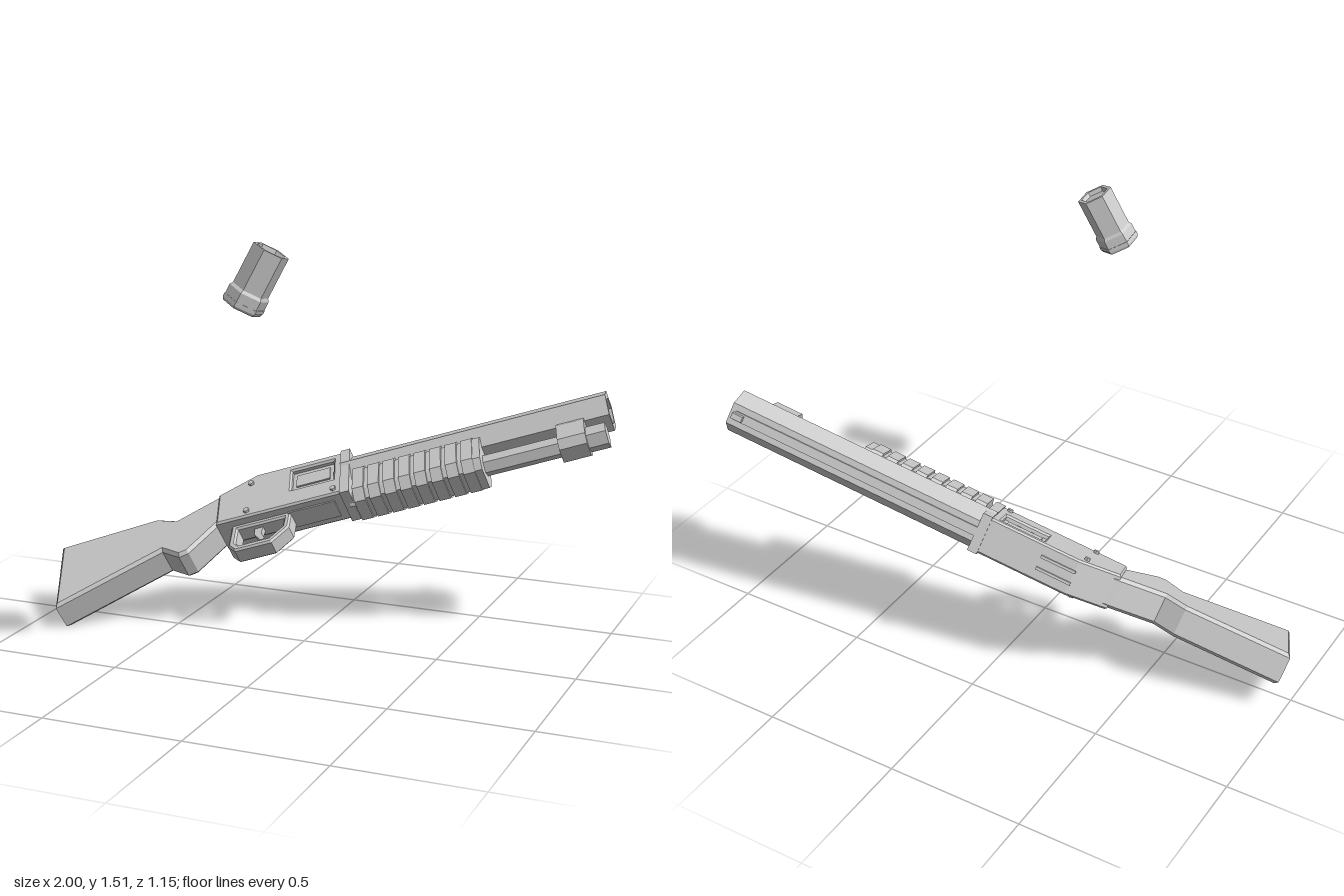
import * as THREE from 'three';

const material = new THREE.MeshStandardMaterial({ color: 0xcccccc, flatShading: true });

function add(parent, name, geometry, x = 0, y = 0, z = 0) {
  const mesh = new THREE.Mesh(geometry, material);
  mesh.name = name;
  mesh.position.set(x, y, z);
  parent.add(mesh);
  return mesh;
}

const toShape = (pts) => new THREE.Shape(pts.map(([x, y]) => new THREE.Vector2(x, y)));

// Side profile (length, height), centred across the width with a chamfered rim
function sideProfile(shape, width, bevel) {
  const g = new THREE.ExtrudeGeometry(shape, {
    depth: width - 2 * bevel, bevelEnabled: bevel > 0, bevelSegments: 1,
    bevelSize: bevel, bevelThickness: bevel, bevelOffset: -bevel,
  });
  return g.translate(0, 0, -(width - 2 * bevel) / 2);
}

// Cross-section (width, height) swept along the length from a to b
function alongLength(shape, a, b) {
  return new THREE.ExtrudeGeometry(shape, { depth: b - a, bevelEnabled: false })
    .rotateY(Math.PI / 2).translate(a, 0, 0);
}

function hexPoints(r, cy, start = 0) {
  return Array.from({ length: 6 }, (_, i) => {
    const a = start + i * Math.PI / 3;
    return [r * Math.cos(a), cy + r * Math.sin(a)];
  });
}

const box = (a, b, c) => new THREE.BoxGeometry(a, b, c);

function buildGun() {
  const gun = new THREE.Group();
  gun.name = 'pumpShotgun';

  // Stock with grip
  add(gun, 'stock', sideProfile(toShape([
    [-0.838, 0.112], [-0.432, 0.275], [-0.362, 0.223], [-0.325, 0.232], [-0.215, 0.345],
    [-0.2, 0.345], [-0.2, 0.505], [-0.23, 0.495], [-0.385, 0.428], [-0.465, 0.462], [-0.858, 0.44],
  ]), 0.118, 0.012));

  // Receiver: core, plain plate on one side, plate with ejection port on the other
  const outline = [[-0.22, 0.335], [0.27, 0.335], [0.27, 0.558], [-0.07, 0.558], [-0.22, 0.495]];
  add(gun, 'receiverCore', sideProfile(toShape(outline), 0.096, 0));
  const plain = toShape(outline);
  const ported = toShape(outline);
  ported.holes.push(new THREE.Path([[0.07, 0.42], [0.07, 0.525], [0.232, 0.525], [0.232, 0.42]]
    .map(([x, y]) => new THREE.Vector2(x, y))));
  const plate = { depth: 0.012, bevelEnabled: true, bevelSegments: 1, bevelSize: 0.007, bevelThickness: 0.007, bevelOffset: -0.007 };
  add(gun, 'portPlate', new THREE.ExtrudeGeometry(ported, plate), 0, 0, 0.048);
  add(gun, 'plainPlate', new THREE.ExtrudeGeometry(plain, plate), 0, 0, -0.06);
  add(gun, 'bolt', box(0.13, 0.06, 0.012), 0.15, 0.475, 0.048);
  add(gun, 'receiverCollar', box(0.035, 0.236, 0.142), 0.278, 0.444, 0);
  add(gun, 'loadingGate', box(0.18, 0.01, 0.075), 0.14, 0.334, 0);
  for (const s of [-1, 1]) {
    add(gun, 'topRail', box(0.13, 0.012, 0.01), -0.01, 0.56, s * 0.022);
    for (const [u, v] of [[-0.09, 0.51], [-0.1, 0.362], [0.235, 0.362]]) {
      add(gun, 'pin', new THREE.CylinderGeometry(0.011, 0.011, 0.012, 6).rotateX(Math.PI / 2), u, v, s * 0.07);
    }
  }

  // Trigger and its guard
  const guard = toShape([[-0.17, 0.345], [-0.178, 0.235], [-0.15, 0.203], [-0.01, 0.203], [0.055, 0.262], [0.062, 0.345]]);
  guard.holes.push(new THREE.Path([[-0.145, 0.318], [0.035, 0.318], [0.03, 0.274], [-0.02, 0.23], [-0.138, 0.23], [-0.15, 0.245]]
    .map(([x, y]) => new THREE.Vector2(x, y))));
  add(gun, 'triggerGuard', sideProfile(guard, 0.066, 0.007));
  add(gun, 'trigger', sideProfile(toShape([
    [-0.09, 0.335], [-0.085, 0.285], [-0.06, 0.25], [-0.045, 0.255], [-0.06, 0.29], [-0.05, 0.335],
  ]), 0.024, 0));

  // Hexagonal barrel with open muzzle, rib and sight
  const barrelPts = hexPoints(0.077, 0.485);
  const muzzle = toShape(barrelPts);
  muzzle.holes.push(new THREE.Path(hexPoints(0.052, 0.485).reverse().map(([x, y]) => new THREE.Vector2(x, y))));
  add(gun, 'barrel', alongLength(toShape(barrelPts), 0.26, 1.12));
  add(gun, 'muzzle', alongLength(muzzle, 1.12, 1.25));
  add(gun, 'sightRib', box(0.95, 0.012, 0.032), 0.755, 0.554, 0);
  add(gun, 'frontSight', box(0.04, 0.03, 0.02), 1.215, 0.564, 0);

  // Magazine tube, end cap and the band holding it to the barrel
  const pointUp = Math.PI / 6;
  add(gun, 'magazineTube', alongLength(toShape(hexPoints(0.038, 0.358, pointUp)), 0.28, 1.2));
  add(gun, 'tubeCap', alongLength(toShape(hexPoints(0.046, 0.358, pointUp)), 1.16, 1.23));
  add(gun, 'tubeBand', alongLength(toShape([
    [-0.03, 0.305], [0.03, 0.305], [0.054, 0.335], [0.054, 0.41], [0.04, 0.435], [-0.04, 0.435], [-0.054, 0.41], [-0.054, 0.335],
  ]), 1.06, 1.16));

  // Ribbed pump grip
  const gripSection = (d) => toShape([
    [-0.045, 0.285 + d], [0.045, 0.285 + d], [0.076 - d, 0.325], [0.076 - d, 0.435], [0.06 - d, 0.455 - d],
    [-0.06 + d, 0.455 - d], [-0.076 + d, 0.435], [-0.076 + d, 0.325],
  ]);
  add(gun, 'pumpBody', alongLength(gripSection(0.009), 0.31, 0.77));
  for (let i = 0; i < 8; i++) {
    const a = 0.31 + i * 0.058;
    add(gun, 'pumpRib', alongLength(gripSection(0), a, a + 0.042));
  }
  add(gun, 'pumpNose', alongLength(gripSection(0.004), 0.758, 0.785));

  // Tilt the whole gun along its pointing direction
  const along = new THREE.Vector3(0.936, 0.3, -0.188).normalize();
  const up = new THREE.Vector3(-0.31, 0.43, -0.85);
  up.addScaledVector(along, -up.dot(along)).normalize();
  const side = new THREE.Vector3().crossVectors(along, up);
  gun.quaternion.setFromRotationMatrix(new THREE.Matrix4().makeBasis(along, up, side));
  gun.position.copy(side).multiplyScalar(0.305);
  return gun;
}

// Six-sided cartridge with a wider base and a hollow top
function buildShell() {
  const shell = new THREE.Group();
  shell.name = 'shell';
  const profile = [[0, -0.105], [0.066, -0.105], [0.07, -0.097], [0.07, -0.05], [0.063, -0.04],
    [0.063, 0.105], [0.05, 0.105], [0.046, 0.09], [0, 0.09]];
  add(shell, 'casing', new THREE.LatheGeometry(profile.map(([x, y]) => new THREE.Vector2(x, y)), 6));
  add(shell, 'baseRing', new THREE.CylinderGeometry(0.072, 0.072, 0.012, 6), 0, -0.088, 0);
  const axis = new THREE.Vector3(0.43, 0.88, -0.15).normalize();
  shell.quaternion.setFromUnitVectors(new THREE.Vector3(0, 1, 0), axis);
  shell.position.set(0.039, 1.4, 0.49);
  return shell;
}

export function createModel() {
  const model = new THREE.Group();
  model.name = 'shotgunWithShell';
  model.add(buildGun(), buildShell());
  return model;
}
